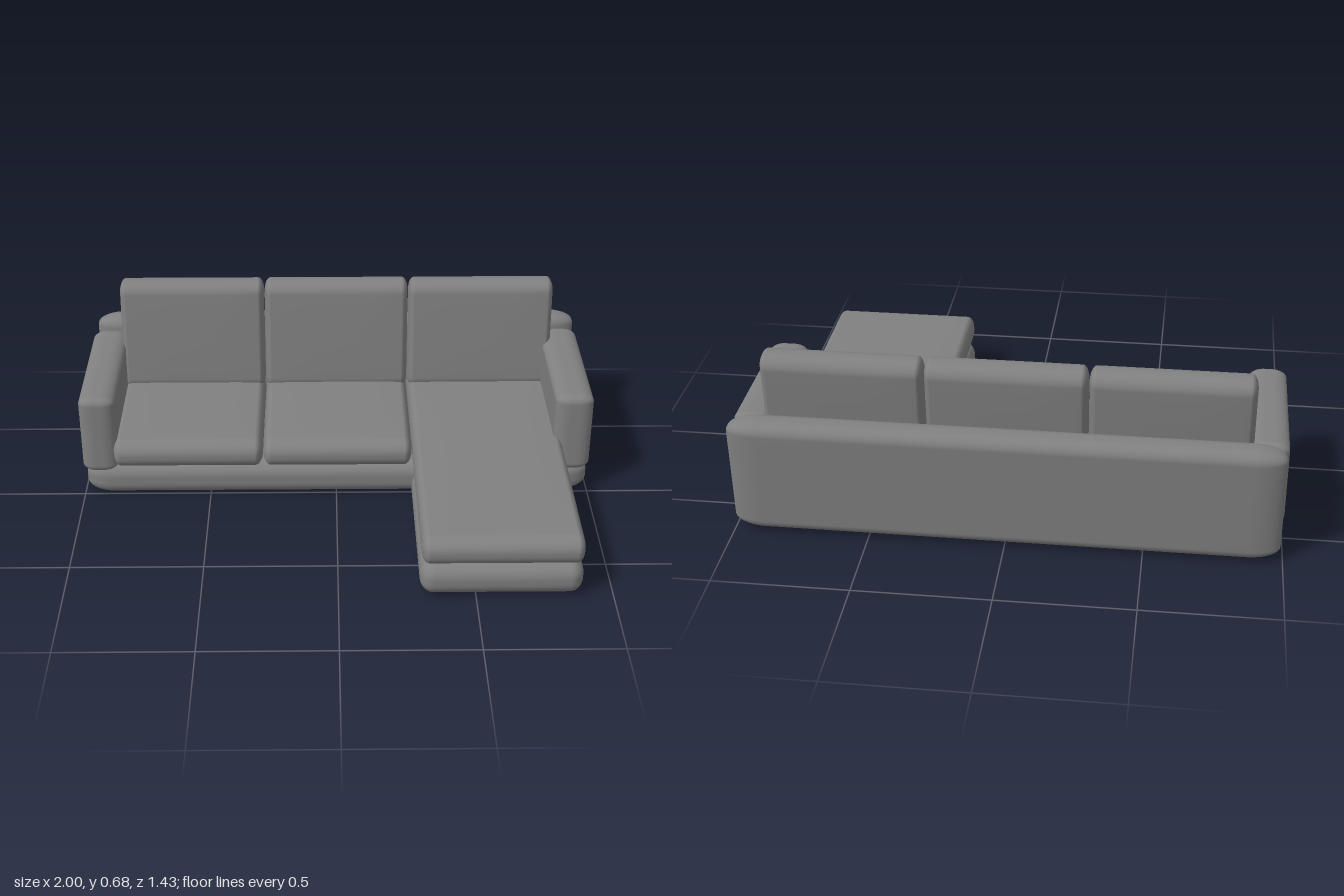
import * as THREE from 'three';
import { mergeVertices } from 'three/addons/utils/BufferGeometryUtils.js';

const EDGE = 5;   // segments across each rounded edge
const FLAT = 6;   // segments across each flat face
const SEGS = EDGE * 2 + FLAT;

// Maps an even grid step to a coordinate, crowding points into the rounded edge.
function gridToAxis(t, half, r) {
  const step = Math.round((t + 0.5) * SEGS);
  const inner = half - r;
  const edge = (k) => inner + r * Math.tan((k / EDGE) * Math.PI / 4);
  if (step < EDGE) return -edge(EDGE - step);
  if (step > EDGE + FLAT) return edge(step - EDGE - FLAT);
  return inner * (((step - EDGE) / FLAT) * 2 - 1);
}

// Upholstered block with its own edge radius per axis. "crown" is how far the
// faces across crownAxis sink towards their borders, like a stuffed cushion.
function upholstered(size, radius, crown = 0, crownAxis = 1) {
  const geo = new THREE.BoxGeometry(1, 1, 1, SEGS, SEGS, SEGS);
  geo.deleteAttribute('normal');
  geo.deleteAttribute('uv');
  const pos = geo.attributes.position;
  const half = size.map((s) => s / 2);
  const rad = radius.map((r, i) => Math.min(r, half[i] * 0.98));
  for (let i = 0; i < pos.count; i++) {
    const p = [pos.getX(i), pos.getY(i), pos.getZ(i)].map((t, a) => gridToAxis(t, half[a], rad[a]));
    const core = p.map((v, a) => THREE.MathUtils.clamp(v, rad[a] - half[a], half[a] - rad[a]));
    const dir = new THREE.Vector3(...p.map((v, a) => (v - core[a]) / rad[a])).normalize().toArray();
    const q = core.map((v, a) => v + dir[a] * rad[a]);
    let border = 0;
    for (let a = 0; a < 3; a++) {
      if (a !== crownAxis) border = Math.max(border, Math.abs(q[a] / half[a]) ** 4);
    }
    q[crownAxis] *= 1 - (crown / half[crownAxis]) * border;
    pos.setXYZ(i, ...q);
  }
  const merged = mergeVertices(geo, 1e-5);
  merged.computeVertexNormals();
  return merged;
}

export function createModel() {
  const sofa = new THREE.Group();
  sofa.name = 'cornerSofa';
  const fabric = new THREE.MeshStandardMaterial({ color: 0x808080 });
  fabric.name = 'grey fabric';

  // Adds a block spanning lo..hi on each axis, optionally leaning back.
  function add(name, lo, hi, radius, { crown = 0, crownAxis = 1, lean = 0 } = {}) {
    const size = hi.map((v, i) => v - lo[i]);
    const mesh = new THREE.Mesh(upholstered(size, radius, crown, crownAxis), fabric);
    mesh.name = name;
    mesh.position.set(...hi.map((v, i) => (v + lo[i]) / 2));
    mesh.rotation.x = -lean;
    sofa.add(mesh);
  }

  // Plinths under the main seat and the chaise
  add('mainBase', [-0.99, 0, -0.58], [0.995, 0.14, 0.018], [0.1, 0.055, 0.06]);
  add('chaiseBase', [0.295, 0, 0.015], [0.89, 0.14, 0.71], [0.05, 0.06, 0.06], { crown: 0.005 });

  // Armrests
  add('rightArm', [-1, 0.105, -0.588], [-0.86, 0.437, 0.015], [0.055, 0.032, 0.035]);
  add('leftArm', [0.852, 0.105, -0.588], [1, 0.437, 0.015], [0.055, 0.032, 0.035]);

  // Long leaning backrest
  add('backrest', [-0.99, 0.015, -0.705], [0.998, 0.471, -0.585], [0.12, 0.045, 0.05], { lean: 0.065 });

  // Three seat places, the last one running forward as the chaise
  const seams = [-0.876, -0.288, 0.297, 0.888];
  const names = ['right', 'middle', 'left'];
  names.forEach((side, i) => {
    const x0 = seams[i] + 0.001;
    const x1 = seams[i + 1] - 0.001;
    const front = i === 2 ? 0.718 : 0.05;
    add(i === 2 ? 'chaiseCushion' : side + 'SeatCushion', [x0, 0.133, -0.57], [x1, 0.257, front],
      [0.03, 0.055, 0.06], { crown: 0.007 });
    add(side + 'BackCushion', [x0, 0.215, -0.583], [x1, 0.684, -0.459],
      [0.025, 0.05, 0.055], { crown: 0.005, crownAxis: 2, lean: 0.1 });
  });

  return sofa;
}
